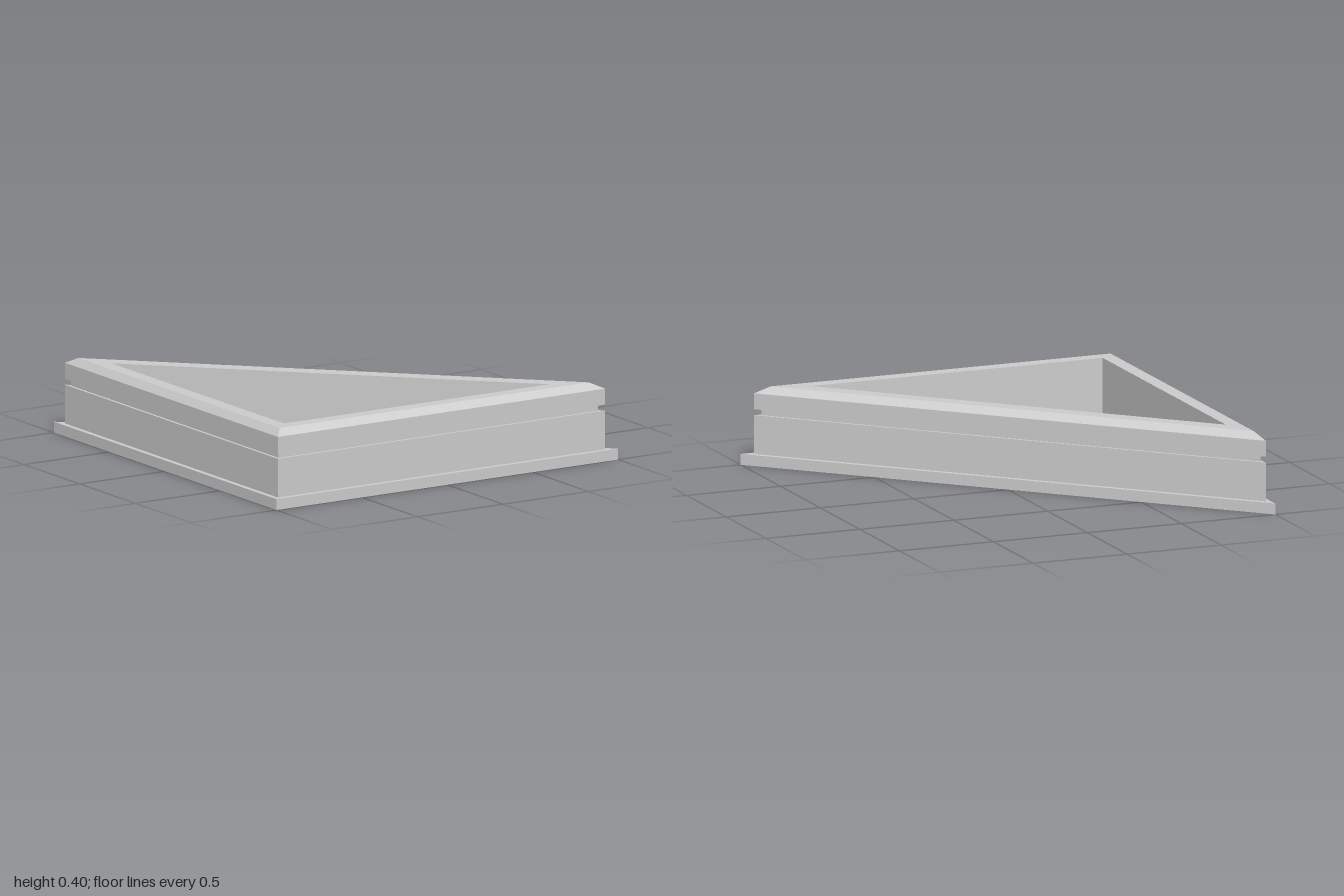
import * as THREE from 'three';

const material = new THREE.MeshStandardMaterial({ color: 0xcccccc, flatShading: true });

// Right-angled triangle inset by `leg` on the two legs and `hyp` on the long side
function ring([leg, y, hyp = leg]) {
  const x = -1 + leg, z = 1 - leg, c = -hyp * Math.SQRT2;
  return [[x, y, z], [z + c, y, z], [x, y, x - c]];
}

// Skin a profile of [inset, height] points around the triangle, with optional end caps
function loft(name, profile, { bottom = false, floor = false } = {}) {
  const rings = profile.map(ring);
  const points = [];
  for (let i = 0; i < rings.length - 1; i++) {
    const low = rings[i], high = rings[i + 1];
    for (let a = 0; a < 3; a++) {
      const b = (a + 1) % 3;
      points.push(low[a], low[b], high[b], low[a], high[b], high[a]);
    }
  }
  if (bottom) points.push(...rings[0].slice().reverse());
  if (floor) points.push(...rings[rings.length - 1]);
  const geometry = new THREE.BufferGeometry();
  geometry.setAttribute('position', new THREE.Float32BufferAttribute(points.flat(), 3));
  geometry.computeVertexNormals();
  const mesh = new THREE.Mesh(geometry, material);
  mesh.name = name;
  return mesh;
}

export function createModel() {
  const model = new THREE.Group();
  model.name = 'triangularPlanter';
  const inner = [0.128, 0.395, 0.136];
  model.add(
    // Base slab with a narrow ledge
    loft('plinth', [[0, 0], [0, 0.055], [0.025, 0.055]], { bottom: true }),
    // Outer wall
    loft('wall', [[0.025, 0.055], [0.025, 0.25]]),
    // Recessed line under the rim
    loft('groove', [[0.025, 0.25], [0.039, 0.25], [0.039, 0.28], [0.025, 0.28]]),
    // Coping with a chamfered outer edge
    loft('rim', [[0.025, 0.28], [0.025, 0.36], [0.056, 0.395], inner]),
    // Inner walls and floor
    loft('basin', [inner, [0.128, 0.035, 0.136]], { floor: true })
  );
  return model;
}
